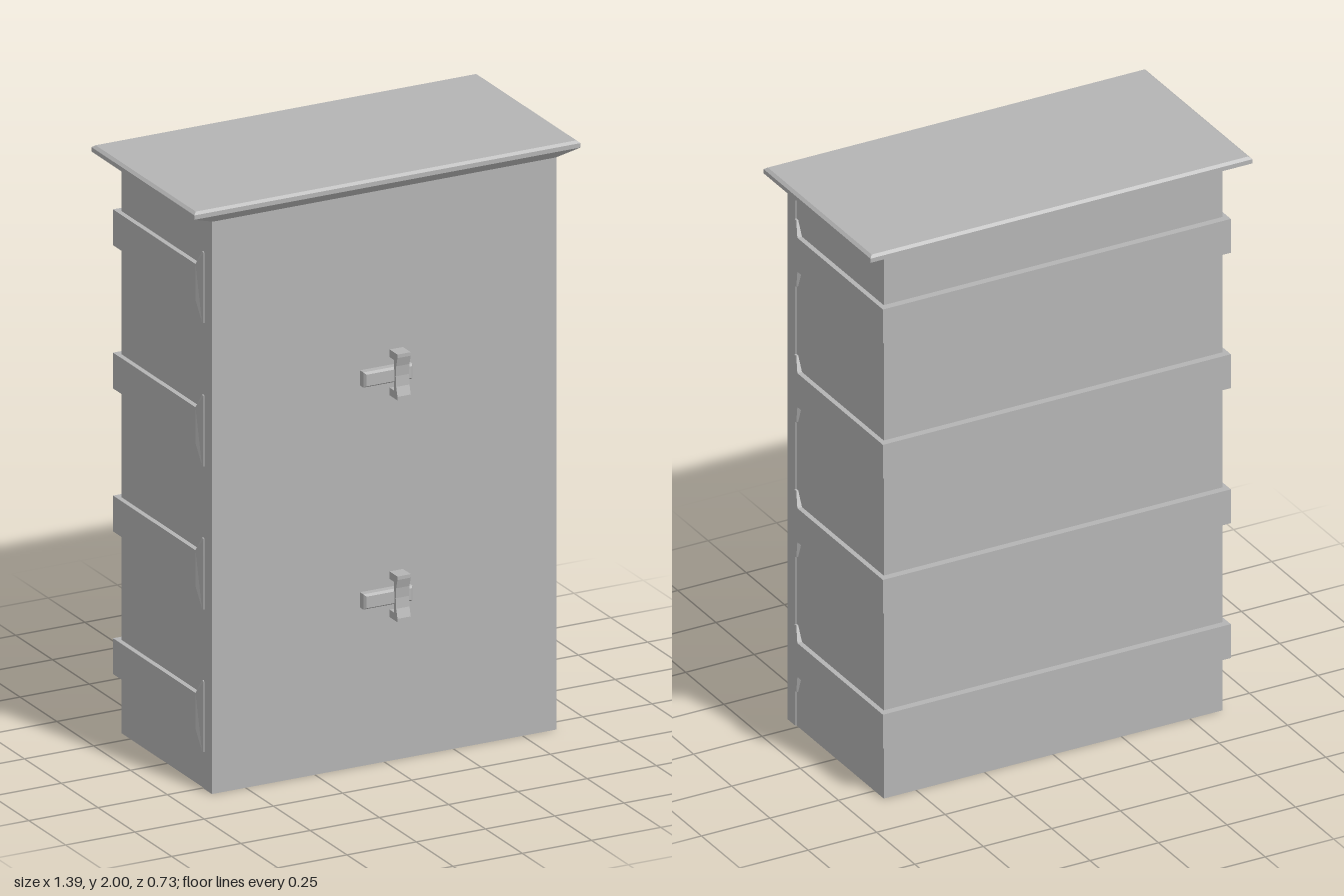
import * as THREE from 'three';

const paint = new THREE.MeshStandardMaterial({ color: 0xb4b4b4 });
paint.name = 'plain grey';

export function createModel() {
  const root = new THREE.Group();
  root.name = 'cabinet';

  function add(name, geometry, x = 0, y = 0, z = 0, parent = root) {
    const mesh = new THREE.Mesh(geometry, paint);
    mesh.name = name;
    mesh.position.set(x, y, z);
    parent.add(mesh);
    return mesh;
  }

  // Box given by its limits
  function block(name, x0, x1, y0, y1, z0, z1, parent) {
    return add(name, new THREE.BoxGeometry(x1 - x0, y1 - y0, z1 - z0),
      (x0 + x1) / 2, (y0 + y1) / 2, (z0 + z1) / 2, parent);
  }

  // Box whose bottom and top rectangles differ: [half width, back z, front z]
  function taperedBlock(name, y0, low, y1, high, parent) {
    const geo = new THREE.BoxGeometry(2, 2, 2);
    const p = geo.attributes.position;
    for (let i = 0; i < p.count; i++) {
      const up = p.getY(i) > 0;
      const [w, back, front] = up ? high : low;
      p.setXYZ(i, Math.sign(p.getX(i)) * w, up ? y1 : y0, p.getZ(i) > 0 ? front : back);
    }
    geo.computeVertexNormals();
    return add(name, geo, 0, 0, 0, parent);
  }

  // Carcass with a shallow recess under the floor
  const recess = 0.035;
  block('body', -0.618, 0.618, recess, 1.955, -0.31, 0.26);
  const plinth = new THREE.Shape([
    new THREE.Vector2(-0.618, -0.26), new THREE.Vector2(0.618, -0.26),
    new THREE.Vector2(0.618, 0.31), new THREE.Vector2(-0.618, 0.31),
  ]);
  plinth.holes.push(new THREE.Path([
    new THREE.Vector2(-0.555, -0.205), new THREE.Vector2(-0.555, 0.25),
    new THREE.Vector2(0.555, 0.25), new THREE.Vector2(0.555, -0.205),
  ]));
  const plinthGeo = new THREE.ExtrudeGeometry(plinth, { depth: recess, bevelEnabled: false });
  plinthGeo.rotateX(-Math.PI / 2);
  add('baseRim', plinthGeo);

  // Front door panel
  block('door', -0.622, 0.622, 0, 1.955, 0.26, 0.312);

  // Cornice: sloped underside, thin edge, bevelled top
  const rim = [0.697, -0.365, 0.335];
  taperedBlock('corniceSlope', 1.95, [0.62, -0.312, 0.314], 1.977, rim);
  taperedBlock('corniceEdge', 1.977, rim, 1.992, rim);
  taperedBlock('corniceTop', 1.992, rim, 2.0, [0.687, -0.355, 0.325]);

  // Side strap with a flared front end that thins out towards its tips
  function strapGeometry(side) {
    const outline = [
      [-0.335, -0.061], [0.225, -0.061], [0.25, -0.13], [0.262, -0.13],
      [0.262, 0.11], [0.25, 0.11], [0.225, 0.061], [-0.335, 0.061],
    ].map(([z, y]) => new THREE.Vector2(-z, y));
    const geo = new THREE.ExtrudeGeometry(new THREE.Shape(outline), { depth: 0.025, bevelEnabled: false });
    geo.rotateY(Math.PI / 2);
    geo.translate(side > 0 ? 0.61 : -0.635, 0, 0);
    const p = geo.attributes.position;
    for (let i = 0; i < p.count; i++) {
      if (Math.abs(p.getY(i)) > 0.1) p.setX(i, side * Math.min(Math.abs(p.getX(i)), 0.625));
    }
    geo.computeVertexNormals();
    return geo;
  }

  // Four straps running round the sides and back
  for (const y of [0.257, 0.743, 1.23, 1.718]) {
    const band = new THREE.Group();
    band.name = 'band';
    band.position.y = y;
    root.add(band);
    block('backStrap', -0.612, 0.612, -0.061, 0.061, -0.335, -0.305, band);
    for (const side of [-1, 1]) add('sideStrap', strapGeometry(side), 0, 0, 0, band);
  }

  // Latch keeper: bracket profile with a slightly hollow front
  const keeper = new THREE.Shape([
    [0.31, -0.078], [0.365, -0.078], [0.365, -0.066], [0.356, -0.035], [0.353, 0],
    [0.356, 0.035], [0.365, 0.066], [0.365, 0.078], [0.31, 0.078], [0.31, 0.052],
    [0.341, 0.052], [0.341, -0.052], [0.31, -0.052],
  ].map(([z, y]) => new THREE.Vector2(-z, y)));

  // Two latches on the door
  for (const y of [0.567, 1.323]) {
    const latch = new THREE.Group();
    latch.name = 'latch';
    latch.position.y = y;
    root.add(latch);

    const keeperGeo = new THREE.ExtrudeGeometry(keeper, { depth: 0.048, bevelEnabled: false });
    keeperGeo.rotateY(Math.PI / 2);
    add('keeper', keeperGeo, 0.02, 0, 0, latch);

    // Sliding bolt with chamfered front edges
    block('boltBase', -0.087, 0.09, -0.026, 0.026, 0.31, 0.334, latch);
    const front = new THREE.BoxGeometry(0.177, 0.052, 0.009);
    const p = front.attributes.position;
    for (let i = 0; i < p.count; i++) {
      if (p.getZ(i) > 0) p.setXY(i, p.getX(i) * 0.92, p.getY(i) * 0.76);
    }
    front.computeVertexNormals();
    add('boltFront', front, 0.0015, 0, 0.3385, latch);
  }

  return root;
}
